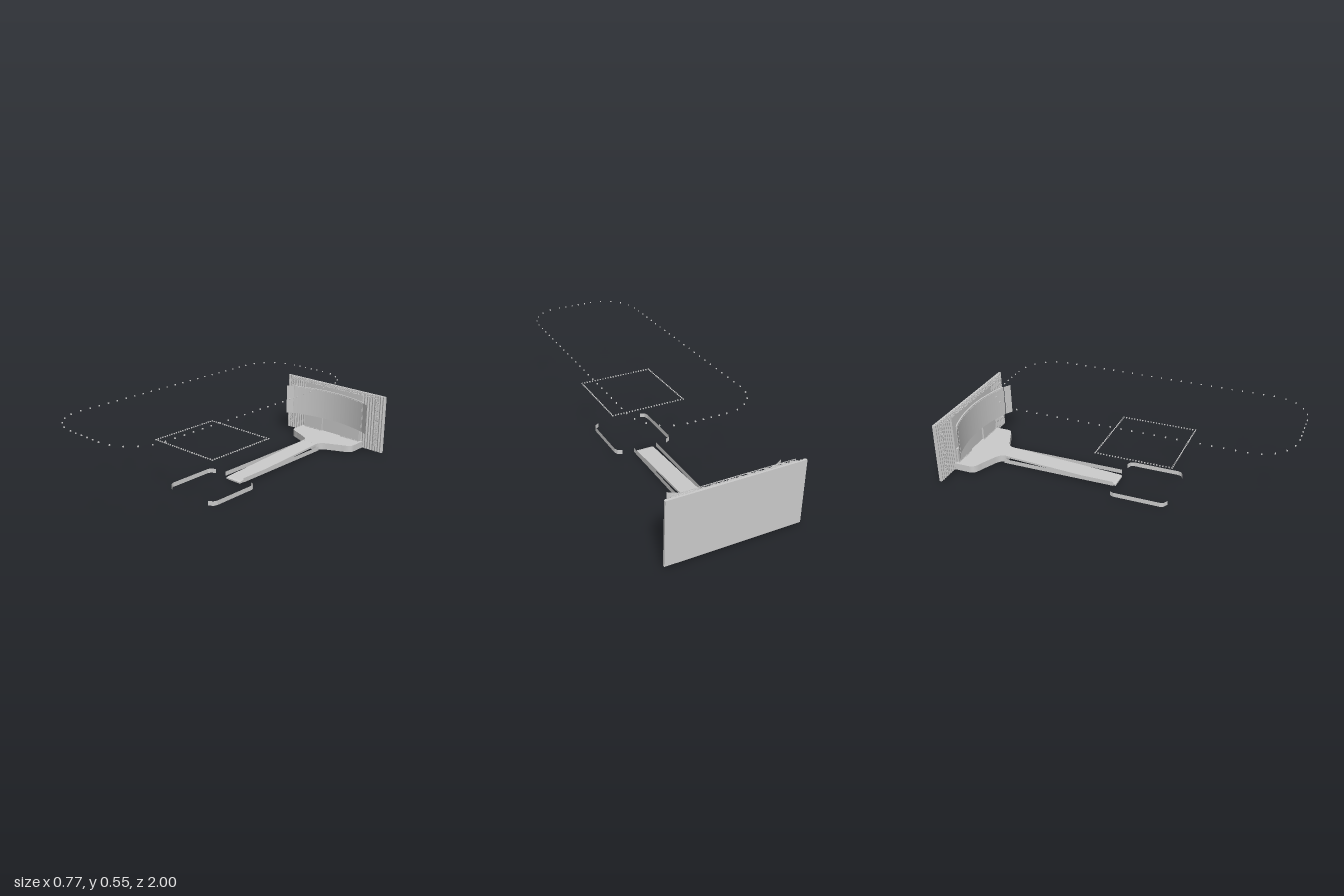
import * as THREE from 'three';
import { mergeGeometries } from 'three/addons/utils/BufferGeometryUtils.js';

export function createModel() {
  const model = new THREE.Group();
  const grey = new THREE.MeshStandardMaterial({ color: 0xcccccc });
  grey.name = 'light grey';
  const greySheet = grey.clone();
  greySheet.side = THREE.DoubleSide;

  const add = (name, geometry, material = grey) => {
    const mesh = new THREE.Mesh(geometry, material);
    mesh.name = name;
    model.add(mesh);
    return mesh;
  };
  // Box given by its limits on each axis
  const box = (x0, x1, y0, y1, z0, z1) =>
    new THREE.BoxGeometry(x1 - x0, y1 - y0, z1 - z0)
      .translate((x0 + x1) / 2, (y0 + y1) / 2, (z0 + z1) / 2);
  // Plan shape (drawn with y = -z) raised from y0 to y1
  const raise = (shape, y0, y1) =>
    new THREE.ExtrudeGeometry(shape, { depth: y1 - y0, bevelEnabled: false, curveSegments: 12 })
      .rotateX(-Math.PI / 2).translate(0, y0, 0);
  // Upright slab whose front follows z = front(x) and back follows z = back(x)
  const slab = (x0, x1, n, front, back, y0, y1) => {
    const pts = [];
    for (let i = 0; i <= n; i++) {
      const x = x0 + (x1 - x0) * i / n;
      pts.push(new THREE.Vector2(x, -front(x)));
    }
    for (let i = n; i >= 0; i--) {
      const x = x0 + (x1 - x0) * i / n;
      pts.push(new THREE.Vector2(x, -back(x)));
    }
    return raise(new THREE.Shape(pts), y0, y1);
  };
  // Upright sheet along a path of [x, z] points
  const sheet = (path, y0, y1) => mergeGeometries(path.slice(1).map(([bx, bz], i) => {
    const [ax, az] = path[i];
    return new THREE.PlaneGeometry(Math.hypot(bx - ax, bz - az), y1 - y0)
      .rotateY(-Math.atan2(bz - az, bx - ax))
      .translate((ax + bx) / 2, (y0 + y1) / 2, (az + bz) / 2);
  }));
  // Square bar between two points
  const bar = (a, b, t) => {
    const A = new THREE.Vector3(...a), B = new THREE.Vector3(...b);
    const dir = B.clone().sub(A);
    const q = new THREE.Quaternion().setFromUnitVectors(
      new THREE.Vector3(0, 1, 0), dir.clone().normalize());
    const mid = A.add(B).multiplyScalar(0.5);
    return new THREE.BoxGeometry(t, dir.length(), t).applyQuaternion(q).translate(mid.x, mid.y, mid.z);
  };

  // Backdrop with a pleated curtain on its front
  add('backdropPanel', box(-0.387, 0.387, 0.007, 0.378, -1, -0.99));
  const pleats = 40, pitch = 0.774 / pleats;
  add('curtain', slab(-0.387, 0.387, pleats * 6,
    x => -0.9855 - 0.0025 * Math.cos((x + 0.387) / pitch * Math.PI * 2), () => -0.9905, 0.007, 0.377));
  add('centreWall', box(-0.228, 0.228, 0.05, 0.36, -0.982, -0.976));

  // Stage with a curved neck towards the ramp
  const plan = new THREE.Shape();
  plan.moveTo(-0.24, 0.985);
  plan.lineTo(-0.24, 0.885);
  plan.bezierCurveTo(-0.24, 0.85, -0.205, 0.842, -0.18, 0.832);
  plan.lineTo(-0.1, 0.795);
  plan.bezierCurveTo(-0.07, 0.782, -0.053, 0.765, -0.053, 0.735);
  plan.lineTo(0.053, 0.735);
  plan.bezierCurveTo(0.053, 0.765, 0.07, 0.782, 0.1, 0.795);
  plan.lineTo(0.18, 0.832);
  plan.bezierCurveTo(0.205, 0.842, 0.24, 0.85, 0.24, 0.885);
  plan.lineTo(0.24, 0.985);
  add('stage', raise(plan, 0.007, 0.05));

  // Sloping ramp: side profile drawn with x = -z, then turned across the stage
  const side = new THREE.Shape();
  [[0.02, 0], [0.74, 0.038], [0.74, 0.05], [0.034, 0.013], [0.02, 0.009]].forEach(([d, y], i) =>
    i ? side.lineTo(d, y) : side.moveTo(d, y));
  add('ramp', new THREE.ExtrudeGeometry(side, { depth: 0.106, bevelEnabled: false })
    .translate(0, 0, -0.053).rotateY(Math.PI / 2));

  // Curved main screen, its raised picture area and the wing screens
  const arc = x => -0.96 + 0.05 * (x / 0.277) ** 2;
  add('mainScreen', slab(-0.275, 0.275, 28, arc, x => arc(x) - 0.009, 0.143, 0.335));
  add('screenFace', slab(-0.268, 0.268, 28, x => arc(x) + 0.002, arc, 0.15, 0.329));
  for (const s of [-1, 1]) {
    const label = s > 0 ? 'left' : 'right';
    add(label + 'WingScreen', sheet([[s * 0.278, -0.909], [s * 0.319, -0.885]], 0.144, 0.335), greySheet);

    // Low screen on a row of small feet
    const a = Math.min(s * 0.075, s * 0.223), b = Math.max(s * 0.075, s * 0.223);
    add(label + 'LowScreen', box(a, b, 0.055, 0.143, -0.974, -0.963));
    const feet = [];
    for (let i = 0; i < 14; i++) {
      const x = a + (b - a) * (i + 0.5) / 14;
      feet.push(box(x - 0.003, x + 0.003, 0.05, 0.055, -0.97, -0.961));
    }
    add(label + 'ScreenFeet', mergeGeometries(feet));

    // Barriers beside the ramp and around the floor area
    add(label + 'RampBarrier', sheet([[s * 0.072, -0.03], [s * 0.072, -0.74]], 0.01, 0.037), greySheet);
    add(label + 'FloorBarrier', sheet([[s * 0.142, 0.327], [s * 0.168, 0.312], [s * 0.176, 0.29],
      [s * 0.176, 0.012], [s * 0.168, -0.008], [s * 0.142, -0.02]], 0.01, 0.037), greySheet);
  }

  // Box truss along y, with crossed braces front and back and zigzags on the sides
  const truss = (length, bays, w, d) => {
    const bars = [], h = length / bays, t = 0.0024;
    for (const x of [-w, w]) for (const z of [-d, d]) bars.push(bar([x, 0, z], [x, length, z], t));
    for (let i = 0; i <= bays; i++) {
      const y = i * h, f = i % 2 ? 1 : -1;
      for (const z of [-d, d]) {
        bars.push(bar([-w, y, z], [w, y, z], t));
        if (i < bays) {
          bars.push(bar([-w, y, z], [w, y + h, z], t * 0.7));
          bars.push(bar([w, y, z], [-w, y + h, z], t * 0.7));
        }
      }
      if (i < bays) for (const x of [-w, w]) bars.push(bar([x, y, -f * d], [x, y + h, f * d], t * 0.7));
    }
    return mergeGeometries(bars);
  };
  for (const s of [-1, 1])
    add(s > 0 ? 'leftTrussTower' : 'rightTrussTower', truss(0.31, 10, 0.007, 0.007))
      .position.set(s * 0.34, 0.05, -0.973);
  const beam = add('trussBeam', truss(0.684, 14, 0.007, 0.007));
  beam.rotation.z = -Math.PI / 2;
  beam.position.set(-0.342, 0.368, -0.973);

  // Suspended lamps at [x, z] points
  const lamps = (name, points, y, size) => add(name, mergeGeometries(points.map(([x, z]) =>
    new THREE.BoxGeometry(size, size, size).translate(x, y, z))));

  // Large ring: rounded rectangle, centre z = 0.15
  const ring = [], R = 0.217;
  for (const sx of [-1, 1]) {
    for (const sz of [-1, 1]) {
      for (let i = 0; i <= 5; i++) {
        const t = i * Math.PI / 10;
        ring.push([sx * (0.11 + R * Math.sin(t)), 0.15 + sz * (0.63 + R * Math.cos(t))]);
      }
      for (const x of [0.022, 0.066]) ring.push([sx * x, 0.15 + sz * (0.63 + R)]);
    }
    for (let i = 1; i < 21; i++) ring.push([sx * (0.11 + R), -0.48 + 1.26 * i / 21]);
  }
  lamps('outerLampRing', ring, 0.55, 0.006);

  // Small square of lamps over the floor
  const square = [], n = 26, half = 0.221;
  for (let i = 0; i < n; i++) {
    const u = -half + 2 * half * i / n;
    square.push([u, 0.148 - half], [half, 0.148 + u], [-u, 0.148 + half], [-half, 0.148 - u]);
  }
  lamps('innerLampSquare', square, 0.308, 0.006);

  return model;
}
